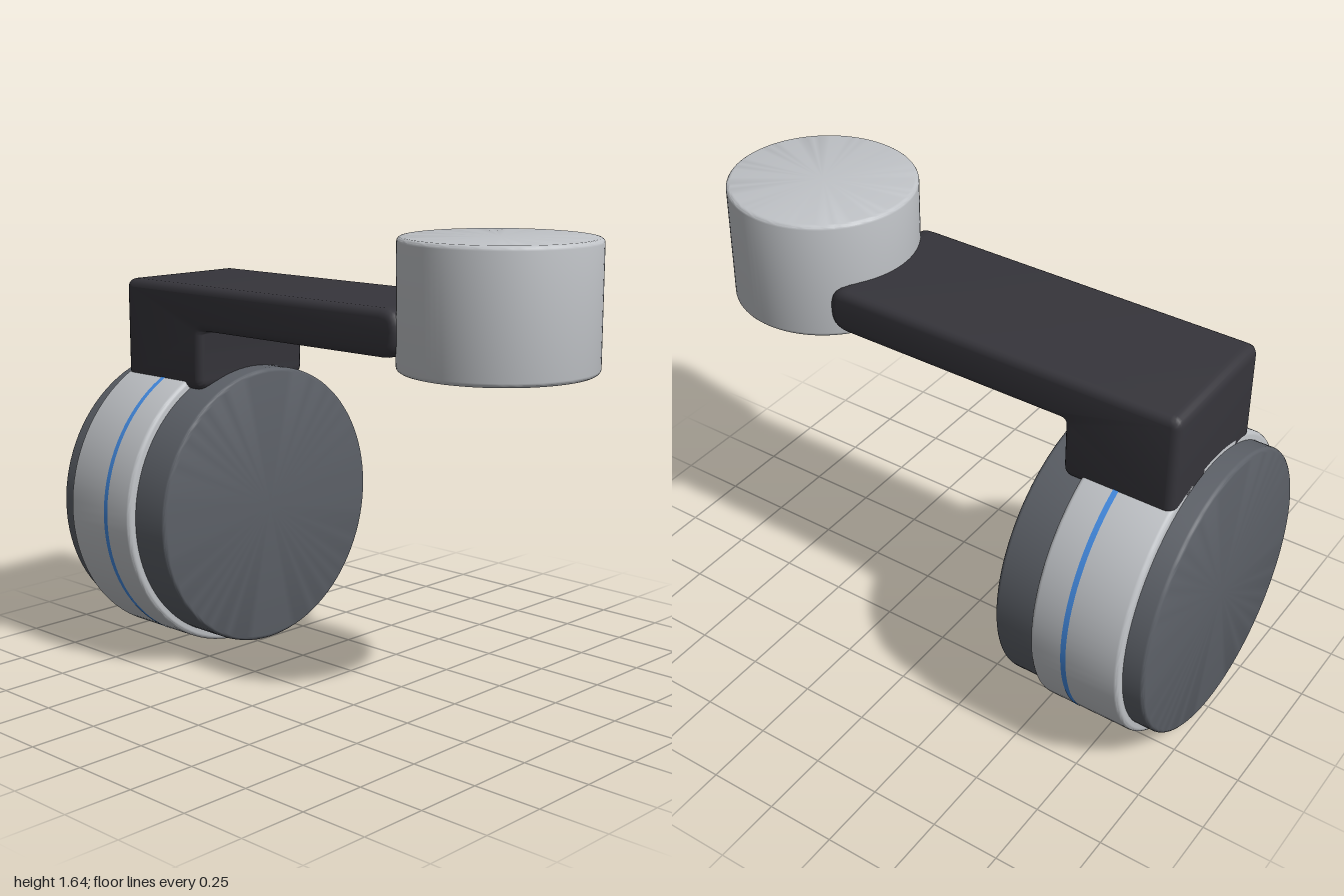
import * as THREE from 'three';
import { toCreasedNormals } from 'three/addons/utils/BufferGeometryUtils.js';

const mat = (name, color) => {
  const m = new THREE.MeshStandardMaterial({ color });
  m.name = name;
  return m;
};

// solid cylinder along y with softly rounded rims
function roundedCylinder(radius, height, r) {
  const h = height / 2, pts = [new THREE.Vector2(0, -h)];
  for (const side of [-1, 1]) {
    for (let i = 0; i <= 4; i++) {
      const a = (side < 0 ? i - 4 : i) * Math.PI / 8;
      pts.push(new THREE.Vector2(radius - r + r * Math.cos(a), side * (h - r) + r * Math.sin(a)));
    }
  }
  pts.push(new THREE.Vector2(0, h));
  return toCreasedNormals(new THREE.LatheGeometry(pts, 96), 0.6);
}

// closed outline whose corners [x, y, radius] are rounded
function roundedOutline(corners) {
  const shape = new THREE.Shape(), n = corners.length;
  corners.forEach(([x, y, r], i) => {
    const p = new THREE.Vector2(x, y);
    const toward = (c) => new THREE.Vector2(c[0], c[1]).sub(p).setLength(r).add(p);
    const a = toward(corners[(i + n - 1) % n]), b = toward(corners[(i + 1) % n]);
    if (i === 0) shape.moveTo(a.x, a.y);
    else shape.lineTo(a.x, a.y);
    shape.quadraticCurveTo(x, y, b.x, b.y);
  });
  shape.closePath();
  return shape;
}

export function createModel() {
  const group = new THREE.Group();
  const slate = mat('slate grey', 0x5c6067);
  const silver = mat('light silver', 0xc0c3c7);
  const charcoal = mat('charcoal', 0x36353b);
  const blue = mat('accent blue', 0x438ae0);

  const add = (name, geometry, material, x, y, z = 0) => {
    const mesh = new THREE.Mesh(geometry, material);
    mesh.name = name;
    mesh.position.set(x, y, z);
    group.add(mesh);
    return mesh;
  };

  // drum lying along x, with a wider band and a thin stripe round it
  const axisY = 0.56;
  add('drum', roundedCylinder(0.525, 0.58, 0.016), slate, -0.71, axisY).rotation.z = Math.PI / 2;
  add('drumBand', roundedCylinder(0.556, 0.34, 0.016), silver, -0.75, axisY).rotation.z = Math.PI / 2;
  const stripe = new THREE.CylinderGeometry(0.5575, 0.5575, 0.02, 96, 1, true);
  add('bandStripe', stripe, blue, -0.712, axisY).rotation.z = Math.PI / 2;

  // L-shaped bracket: saddle block over the drum plus the arm
  const bevel = 0.03, depth = 0.53;
  const outline = roundedOutline([
    [-0.92, 1.02, 0.04], [-0.505, 1.02, 0.04], [-0.505, 1.24, 0.015],
    [0.45, 1.24, 0.075], [0.45, 1.405, 0.075], [-0.92, 1.405, 0.04],
  ]);
  const bracket = new THREE.ExtrudeGeometry(outline, {
    depth: depth - 2 * bevel, curveSegments: 6,
    bevelThickness: bevel, bevelSize: bevel, bevelOffset: -bevel, bevelSegments: 4,
  });
  add('bracketArm', toCreasedNormals(bracket, 0.7), charcoal, 0, 0, bevel - depth / 2);

  // upright end cap on the arm
  add('endCap', roundedCylinder(0.336, 0.44, 0.016), silver, 0.664, 1.42);

  return group;
}
